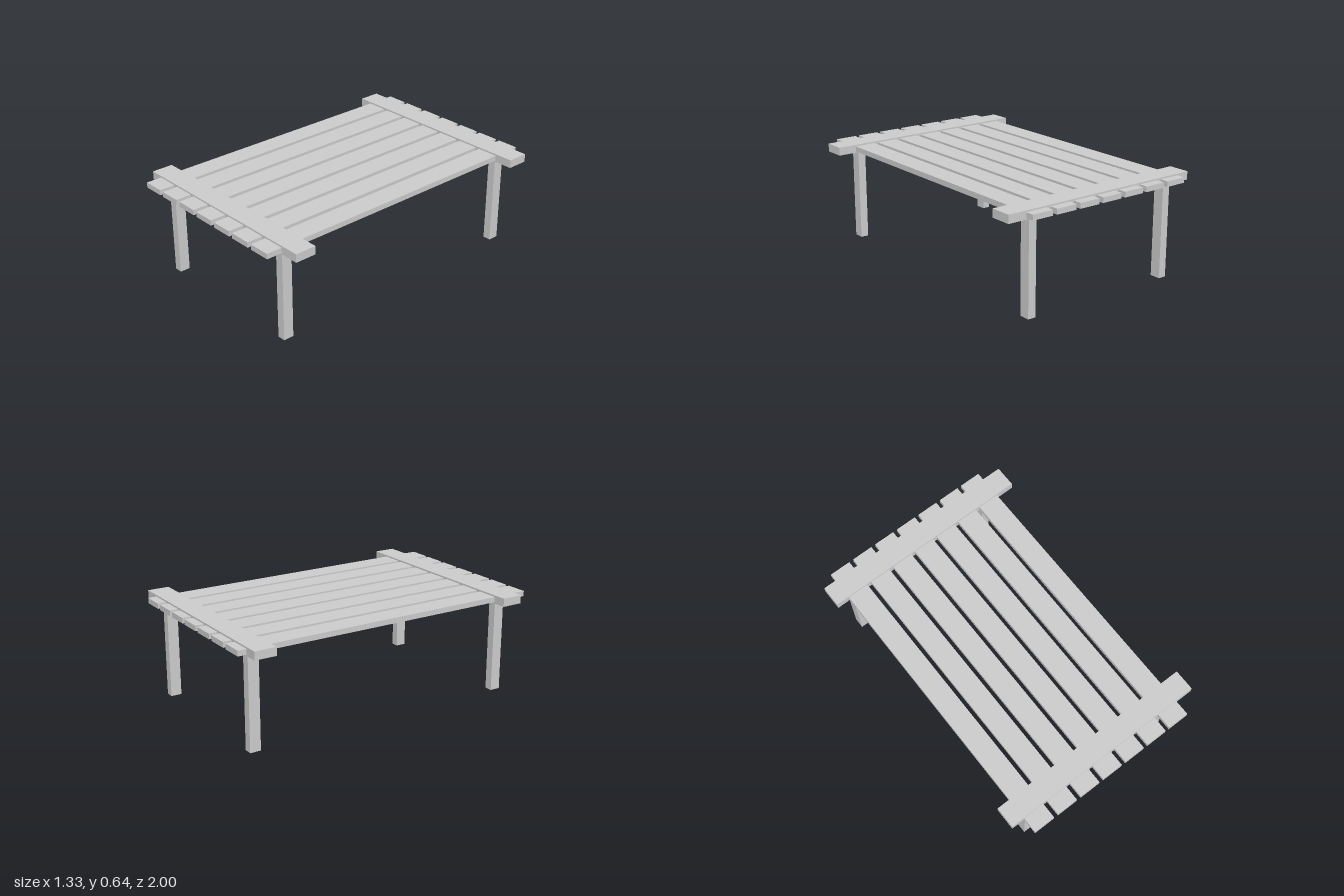
import * as THREE from 'three';

const material = new THREE.MeshStandardMaterial({ color: 0xcccccc, flatShading: true });

// Box given by its extents along each axis
function plank(name, [x0, x1], [y0, y1], [z0, z1]) {
  const mesh = new THREE.Mesh(new THREE.BoxGeometry(x1 - x0, y1 - y0, z1 - z0), material);
  mesh.position.set((x0 + x1) / 2, (y0 + y1) / 2, (z0 + z1) / 2);
  mesh.name = name;
  return mesh;
}

export function createModel() {
  const table = new THREE.Group();
  table.name = 'slattedTable';

  // Seven lengthwise slats
  const slats = new THREE.Group();
  slats.name = 'slats';
  for (let i = 0; i < 7; i++) {
    const x = -0.583 + i * 0.1653;
    slats.add(plank(`slat${i + 1}`, [x, x + 0.137], [0.593, 0.626], [-1, 1]));
  }
  table.add(slats);

  // A crossbeam and two legs at each end
  const ends = [
    { name: 'front', beam: [0.766, 0.9], leg: [0.802, 0.868] },
    { name: 'back', beam: [-0.946, -0.81], leg: [-0.921, -0.853] },
  ];
  for (const { name, beam, leg } of ends) {
    table.add(plank(`${name}Crossbeam`, [-0.667, 0.665], [0.585, 0.636], beam));
    table.add(plank(`${name}RightLeg`, [-0.546, -0.495], [0, 0.586], leg));
    table.add(plank(`${name}LeftLeg`, [0.456, 0.507], [0, 0.586], leg));
  }
  return table;
}
